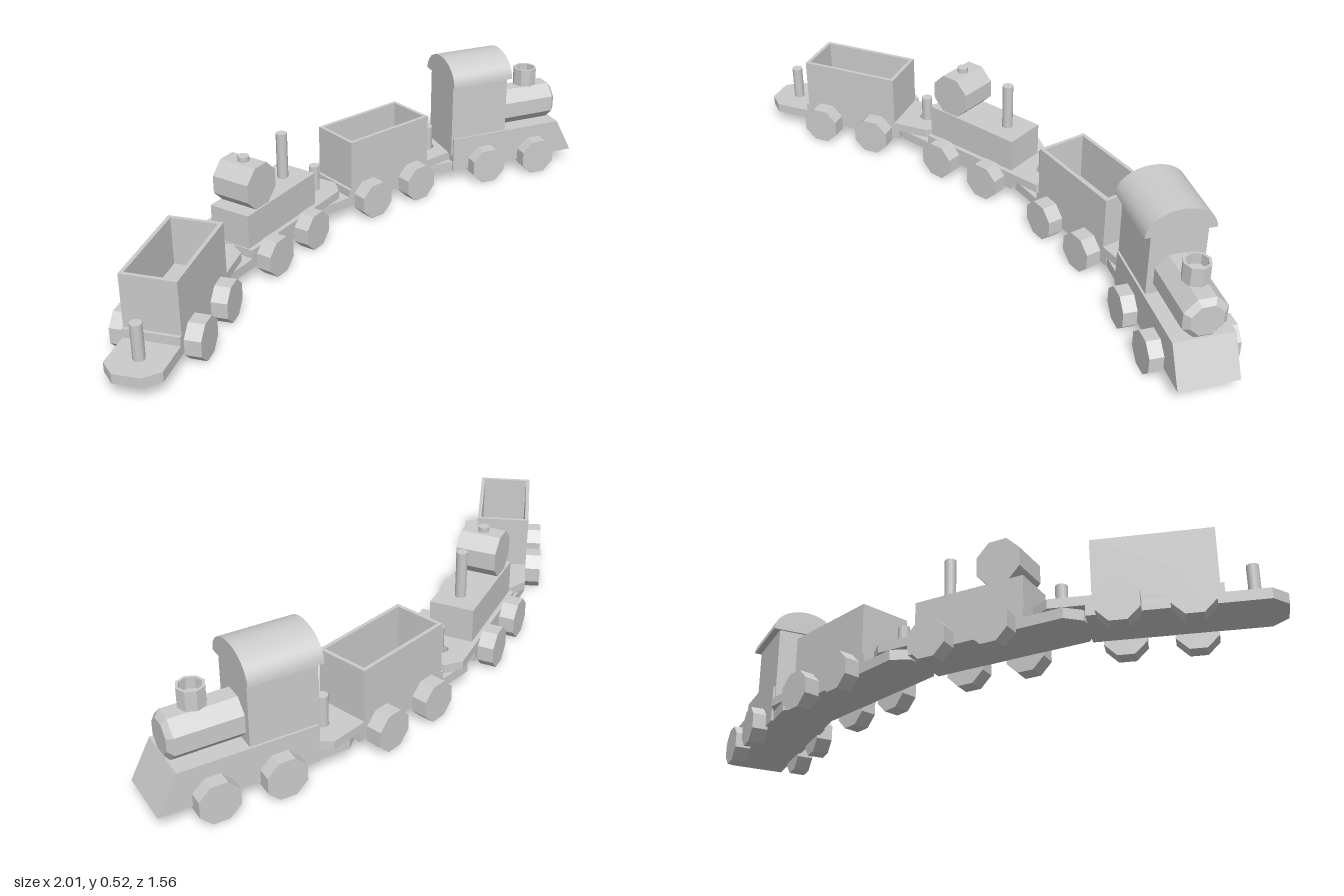
import * as THREE from 'three';
import { toCreasedNormals } from 'three/addons/utils/BufferGeometryUtils.js';

const grey = new THREE.MeshStandardMaterial({ color: 0xcccccc });
const flat = new THREE.MeshStandardMaterial({ color: 0xcccccc, flatShading: true });

function add(parent, name, geometry, x = 0, y = 0, z = 0, material = flat) {
  const mesh = new THREE.Mesh(geometry, material);
  mesh.name = name;
  mesh.position.set(x, y, z);
  parent.add(mesh);
  return mesh;
}

// Block given by its length, width and bottom/top heights
function block(parent, name, x, length, width, y0, y1) {
  return add(parent, name, new THREE.BoxGeometry(length, y1 - y0, width), x, (y0 + y1) / 2);
}

// Eight-sided prism with flat sides up, measured across its flats
function octagon(apothem, length, tipApothem = apothem) {
  const k = 1 / Math.cos(Math.PI / 8);
  return new THREE.CylinderGeometry(tipApothem * k, apothem * k, length, 8, 1, false, Math.PI / 8);
}

function post(parent, name, x, y0, y1, r = 0.021) {
  return add(parent, name, new THREE.CylinderGeometry(r, r, y1 - y0, 10), x, (y0 + y1) / 2, 0, grey);
}

// Extrude a plan outline upwards from height y
function slab(parent, name, shape, y, height) {
  const geometry = new THREE.ExtrudeGeometry(shape, { depth: height, bevelEnabled: false, curveSegments: 6 });
  geometry.rotateX(-Math.PI / 2);
  return add(parent, name, geometry, 0, y);
}

// Deck plate with a clipped end; dir is the end it points to
function tongue(parent, name, dir, from, to, y, height, holeX) {
  const w = 0.1, c = 0.05;
  const outline = [[from, -w], [to - c, -w], [to, -w + c], [to, w - c], [to - c, w], [from, w]];
  const shape = new THREE.Shape(outline.map(([x, z]) => new THREE.Vector2(x * dir, z)));
  if (holeX) {
    const hole = new THREE.Path();
    hole.absarc(holeX * dir, 0, 0.026, 0, Math.PI * 2);
    shape.holes.push(hole);
  }
  slab(parent, name, shape, y, height);
}

function wheels(parent) {
  for (const x of [-0.115, 0.115]) {
    for (const side of [-1, 1]) {
      const geometry = octagon(0.07, 0.06).rotateX(Math.PI / 2);
      add(parent, 'wheel', geometry, x, 0.07, side * 0.129);
    }
  }
}

// Wagon base: a low rear tongue with a peg and a raised front tongue with a hole
function wagon(name) {
  const car = new THREE.Group();
  car.name = name;
  tongue(car, 'rearDeck', -1, -0.22, 0.4, 0.053, 0.037);
  tongue(car, 'frontDeck', 1, -0.21, 0.39, 0.09, 0.033, 0.295);
  post(car, 'couplingPeg', -0.303, 0.08, 0.222);
  wheels(car);
  return car;
}

function hopperWagon(name) {
  const car = wagon(name);
  const rect = (Type, a, b) => new Type([[-a, -b], [a, -b], [a, b], [-a, b]].map(p => new THREE.Vector2(...p)));
  const walls = rect(THREE.Shape, 0.198, 0.1);
  walls.holes.push(rect(THREE.Path, 0.184, 0.086));
  slab(car, 'hopperWalls', walls, 0.12, 0.2);
  block(car, 'hopperFloor', 0, 0.38, 0.185, 0.12, 0.14);
  return car;
}

function tankWagon() {
  const car = wagon('tankWagon');
  block(car, 'wagonBody', 0, 0.41, 0.165, 0.12, 0.252);
  post(car, 'tallPipe', 0.117, 0.24, 0.43);
  add(car, 'tank', octagon(0.081, 0.152).rotateX(Math.PI / 2), -0.11, 0.33);
  post(car, 'tankCap', -0.11, 0.4, 0.43);
  return car;
}

function locomotive() {
  const car = new THREE.Group();
  car.name = 'locomotive';

  // Chassis with a sloping front, drawn from the side
  const side = new THREE.Shape([[-0.255, 0.053], [0.3, 0.053], [0.228, 0.193], [-0.255, 0.193]]
    .map(p => new THREE.Vector2(...p)));
  const chassis = new THREE.ExtrudeGeometry(side, { depth: 0.216, bevelEnabled: false });
  add(car, 'chassis', chassis, 0, 0, -0.108);
  tongue(car, 'rearDeck', -1, 0.2, 0.42, 0.053, 0.037);
  post(car, 'couplingPeg', -0.325, 0.08, 0.222);
  wheels(car);

  // Cab and arched roof
  block(car, 'cab', -0.14, 0.244, 0.2, 0.12, 0.45);
  const arch = new THREE.Shape();
  arch.absellipse(0, 0, 0.125, 0.092, 0, Math.PI);
  const roof = new THREE.ExtrudeGeometry(arch, { depth: 0.26, bevelEnabled: false, curveSegments: 10 });
  roof.rotateY(Math.PI / 2);
  add(car, 'roof', toCreasedNormals(roof, 0.7), -0.27, 0.428, 0, grey);

  // Boiler with a bevelled nose
  add(car, 'boiler', octagon(0.076, 0.25).rotateZ(-Math.PI / 2), 0.09, 0.264);
  add(car, 'boilerNose', octagon(0.076, 0.018, 0.056).rotateZ(-Math.PI / 2), 0.224, 0.264);

  // Funnel: narrow stem under a hollow cap
  post(car, 'funnelStem', 0.12, 0.32, 0.36, 0.032);
  const cap = [[0, 0.345], [0.048, 0.345], [0.048, 0.415], [0.038, 0.415], [0.038, 0.375], [0, 0.375]];
  const lathe = new THREE.LatheGeometry(cap.map(p => new THREE.Vector2(...p)), 8);
  add(car, 'funnelCap', lathe, 0.12, 0, 0);
  return car;
}

export function createModel() {
  const train = new THREE.Group();
  train.name = 'toyTrain';

  // Cars along a curve: x, z and heading in degrees
  const layout = [
    [locomotive(), 0.684, -0.584, 9.6],
    [hopperWagon('frontHopperWagon'), 0.109, -0.412, 27],
    [tankWagon(), -0.387, -0.066, 44.3],
    [hopperWagon('rearHopperWagon'), -0.757, 0.41, 61.8],
  ];
  for (const [car, x, z, heading] of layout) {
    car.position.set(x, 0, z);
    car.rotation.y = THREE.MathUtils.degToRad(heading);
    train.add(car);
  }
  return train;
}
